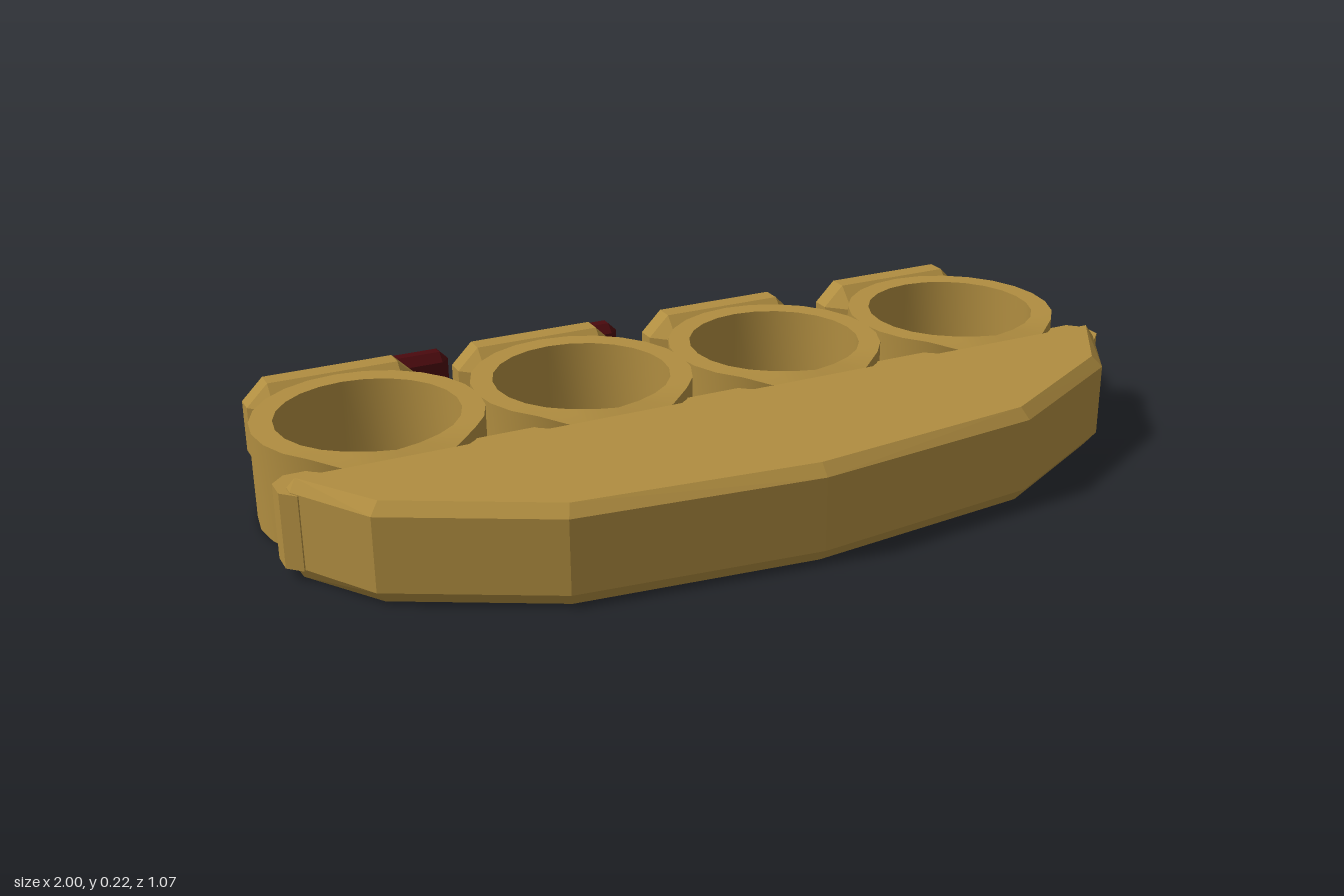
import * as THREE from 'three';
import { toCreasedNormals } from 'three/addons/utils/BufferGeometryUtils.js';
import { ConvexGeometry } from 'three/addons/geometries/ConvexGeometry.js';

const H = 0.22;
const FINGERS = [-0.74, -0.246, 0.246, 0.74];

// Box with every edge and corner cut at 45 degrees
function chamferedBox(w, h, d, c) {
  const pts = [];
  for (const sx of [-1, 1]) for (const sy of [-1, 1]) for (const sz of [-1, 1]) {
    for (let keep = 0; keep < 3; keep++) {
      const p = [w / 2, h / 2, d / 2].map((v, i) => (i === keep ? v : v - c));
      pts.push(new THREE.Vector3(sx * p[0], sy * p[1], sz * p[2]));
    }
  }
  return new ConvexGeometry(pts);
}

// Convex slab from mirrored half outlines [x, z], each placed at given heights
function mirroredSlab(layers) {
  const pts = [];
  for (const [outline, heights] of layers)
    for (const y of heights) for (const [x, z] of outline)
      for (const s of x === 0 ? [1] : [-1, 1]) pts.push(new THREE.Vector3(s * x, y, z));
  return new ConvexGeometry(pts);
}

// Finger ring, its rim dipping where it runs into the palm bar
function ringGeometry(zCentre) {
  const profile = [[0.25, 0], [0.25, H], [0.2, H], [0.2, 0], [0.25, 0]]
    .map(([r, y]) => new THREE.Vector2(r, y));
  const geo = new THREE.LatheGeometry(profile, 24);
  const pos = geo.attributes.position;
  for (let i = 0; i < pos.count; i++) {
    const dip = Math.max(0, pos.getZ(i) + zCentre - 0.05) * 0.5;
    const y = pos.getY(i);
    pos.setY(i, y > H / 2 ? y - dip : y + dip);
  }
  return toCreasedNormals(geo, 0.45);
}

export function createModel() {
  const group = new THREE.Group();
  const brass = new THREE.MeshStandardMaterial({ color: 0xb08d40 });
  brass.name = 'brass';
  const darkRed = new THREE.MeshStandardMaterial({ color: 0x4a0a0e });
  darkRed.name = 'darkRed';

  const add = (name, geo, mat, x = 0, y = 0, z = 0) => {
    const mesh = new THREE.Mesh(geo, mat);
    mesh.name = name;
    mesh.position.set(x, y, z);
    group.add(mesh);
  };

  // Palm grip with chamfered top and bottom edges
  const outer = [[0.98, 0.095], [0.98, 0.12], [0.87, 0.297], [0.535, 0.477], [0, 0.535]];
  const inner = [[0.965, 0.11], [0.85, 0.282], [0.525, 0.457], [0, 0.512]];
  add('palmGrip', mirroredSlab([[outer, [0.03, 0.195]], [inner, [0, H]]]), brass);

  // Bar joining the grip and the rings
  const bar = [[0.97, 0.03], [1, 0.06], [1, 0.11], [0.97, 0.14]];
  add('palmBar', mirroredSlab([[bar, [0.027, 0.193]]]), brass);

  // Four rings, each with a striking stud behind it
  const ring = ringGeometry(-0.14);
  const stud = chamferedBox(0.4, H, 0.145, 0.05);
  for (const x of FINGERS) {
    add('fingerRing', ring, brass, x, 0, -0.14);
    add('knuckleStud', stud, brass, x, H / 2, -0.4275);
  }

  // Red stains on the striking face
  const plate = chamferedBox(0.215, 0.16, 0.064, 0.02);
  for (const x of [-0.548, -0.112, 0.29]) add('redPlate', plate, darkRed, x, 0.11, -0.507);

  return group;
}
